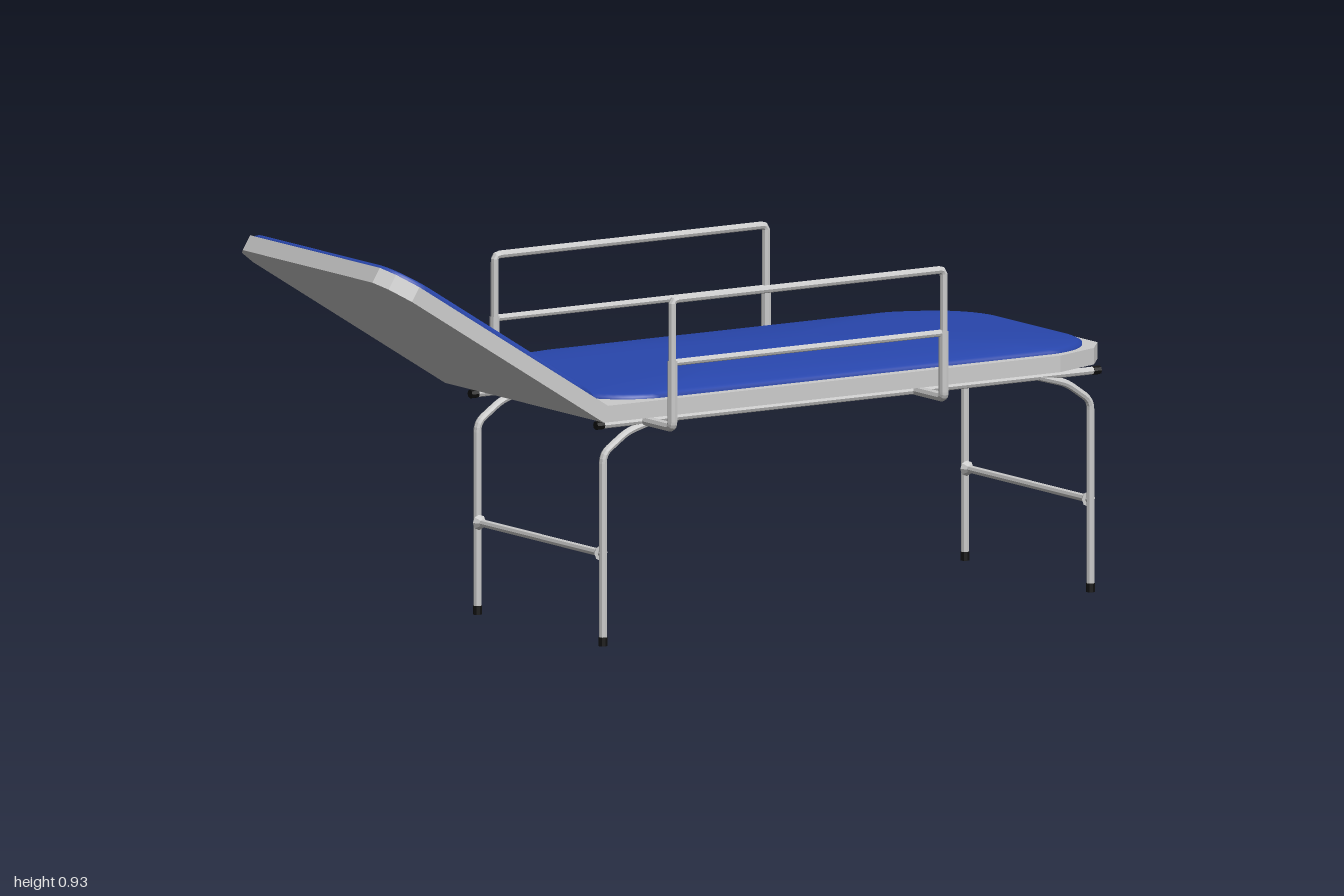
import * as THREE from 'three';
import { mergeVertices } from 'three/addons/utils/BufferGeometryUtils.js';

const metal = new THREE.MeshStandardMaterial({ color: 0xcccccc, flatShading: true });
const fabric = new THREE.MeshStandardMaterial({ color: 0x2846ac });
const rubber = new THREE.MeshStandardMaterial({ color: 0x111111, flatShading: true });

const TILT = THREE.MathUtils.degToRad(32);
const THICK = 0.038;
const HINGE = [-0.41, 0.527, 0];

function mesh(name, geometry, material, parent) {
  const m = new THREE.Mesh(geometry, material);
  m.name = name;
  parent.add(m);
  return m;
}

// Round pipe through points, with softened corners
function pipe(points, radius, fillet = 0.02, segments = 60) {
  const p = points.map((a) => new THREE.Vector3(...a));
  const path = new THREE.CurvePath();
  let start = p[0];
  for (let i = 1; i < p.length - 1; i++) {
    const a = p[i].clone().add(p[i - 1].clone().sub(p[i]).setLength(fillet));
    const b = p[i].clone().add(p[i + 1].clone().sub(p[i]).setLength(fillet));
    path.add(new THREE.LineCurve3(start, a));
    path.add(new THREE.QuadraticBezierCurve3(a, p[i], b));
    start = b;
  }
  path.add(new THREE.LineCurve3(start, p[p.length - 1]));
  return new THREE.TubeGeometry(path, p.length > 2 ? segments : 1, radius, 8);
}

// Flat board with a mitred edge at x = 0; half outline is mirrored across z
function board(half, mitre) {
  const outline = [...half, ...half.map(([x, z]) => [x, -z]).reverse()];
  const shape = new THREE.Shape(outline.map(([x, z]) => new THREE.Vector2(x, z)));
  const g = new THREE.ExtrudeGeometry(shape, { depth: THICK, bevelEnabled: false });
  g.rotateX(-Math.PI / 2);
  const pos = g.attributes.position;
  for (let i = 0; i < pos.count; i++) {
    if (Math.abs(pos.getX(i)) < 1e-4) pos.setX(i, mitre * pos.getY(i));
  }
  g.computeVertexNormals();
  return g;
}

// Domed pad: a lathe whose circles are stretched into rounded rectangles
function cushion(halfX, halfZ, cornerX, cornerZ, bulge) {
  const profile = [[1, -0.004], [1, 0.005], [0.985, 0.01], [0.95, 0.013], [0.85, 0.4 * bulge + 0.005],
    [0.7, 0.66 * bulge], [0.5, 0.84 * bulge], [0.25, 0.96 * bulge], [0, bulge]];
  const n = 48;
  const g = new THREE.LatheGeometry(profile.map(([r, y]) => new THREE.Vector2(r, y)), n, Math.PI / n);
  const pos = g.attributes.position;
  for (let i = 0; i < pos.count; i++) {
    const x = pos.getX(i), z = pos.getZ(i), s = Math.hypot(x, z);
    pos.setX(i, Math.sign(x) * s * (halfX - cornerX) + x * cornerX);
    pos.setZ(i, Math.sign(z) * s * (halfZ - cornerZ) + z * cornerZ);
  }
  g.deleteAttribute('uv');
  g.deleteAttribute('normal');
  const merged = mergeVertices(g);
  merged.computeVertexNormals();
  return merged;
}

export function createModel() {
  const root = new THREE.Group();
  root.name = 'examinationCouch';
  const mitre = Math.tan(TILT / 2);

  // Flat bed section
  const bed = new THREE.Group();
  bed.name = 'bed';
  bed.position.set(...HINGE);
  root.add(bed);
  mesh('bedBoard', board([[1.41, -0.22], [1.36, -0.28], [1.24, -0.325], [0, -0.325]].map(([x, z]) => [x, z]).reverse(), mitre), metal, bed);
  mesh('bedCushion', cushion(0.692, 0.312, 0.17, 0.17, 0.042), fabric, bed).position.set(0.702, THICK, -0.012);

  // Raised head section
  const head = new THREE.Group();
  head.name = 'headrest';
  head.position.set(...HINGE);
  head.rotation.z = -TILT;
  root.add(head);
  mesh('headBoard', board([[-0.695, -0.265], [-0.67, -0.3], [-0.615, -0.325], [0, -0.325]], -mitre), metal, head);
  mesh('headCushion', cushion(0.338, 0.326, 0.1, 0.09, 0.03), fabric, head).position.set(-0.348, THICK, -0.003);

  // Frame, legs and guards on both sides
  for (const side of [1, -1]) {
    const z = side > 0 ? 0.248 : -0.265;
    const outer = side * 0.363;
    const sideName = side > 0 ? 'front' : 'back';

    mesh(sideName + 'FrameRail', pipe([[-0.37, 0.507, z], [0.975, 0.507, z]], 0.009), metal, root);
    for (const x of [-0.372, 0.977]) {
      const cap = mesh(sideName + 'RailCap', new THREE.CylinderGeometry(0.01, 0.01, 0.02, 8), rubber, root);
      cap.rotation.z = Math.PI / 2;
      cap.position.set(x, 0.507, z);
    }

    for (const [x, dir] of [[-0.362, 1], [0.962, -1]]) {
      mesh(sideName + 'Leg', pipe([[x, 0.01, z], [x, 0.44, z], [x + dir * 0.065, 0.485, z],
        [x + dir * 0.14, 0.506, z]], 0.009), metal, root);
      mesh(sideName + 'Foot', new THREE.CylinderGeometry(0.0105, 0.0105, 0.02, 8), rubber, root).position.set(x, 0.01, z);
    }

    // Guard hoop with its brackets and middle bar
    const [x0, x1] = [-0.25, 0.487];
    const guard = new THREE.Group();
    guard.name = sideName + 'Guard';
    root.add(guard);
    mesh('guardHoop', pipe([[x0, 0.655, outer], [x0, 0.8, outer], [x1, 0.8, outer], [x1, 0.655, outer]],
      0.009, 0.012, 120), metal, guard);
    mesh('guardMiddleBar', pipe([[x0, 0.655, outer], [x1, 0.655, outer]], 0.008), metal, guard);
    for (const x of [x0, x1]) {
      mesh('guardBracket', pipe([[x, 0.507, z], [x, 0.507, outer], [x, 0.66, outer]], 0.0115, 0.012), metal, guard);
    }
  }

  // Cross braces between the legs, flared where they join
  for (const x of [-0.362, 0.962]) {
    mesh('legBrace', pipe([[x, 0.212, -0.265], [x, 0.212, 0.248]], 0.009), metal, root);
    for (const [z, dir] of [[-0.265, 1], [0.248, -1]]) {
      const flare = mesh('braceJoint', new THREE.CylinderGeometry(0.009, 0.018, 0.014, 8), metal, root);
      flare.rotation.x = dir * Math.PI / 2;
      flare.position.set(x, 0.212, z + dir * 0.015);
    }
  }
  return root;
}
